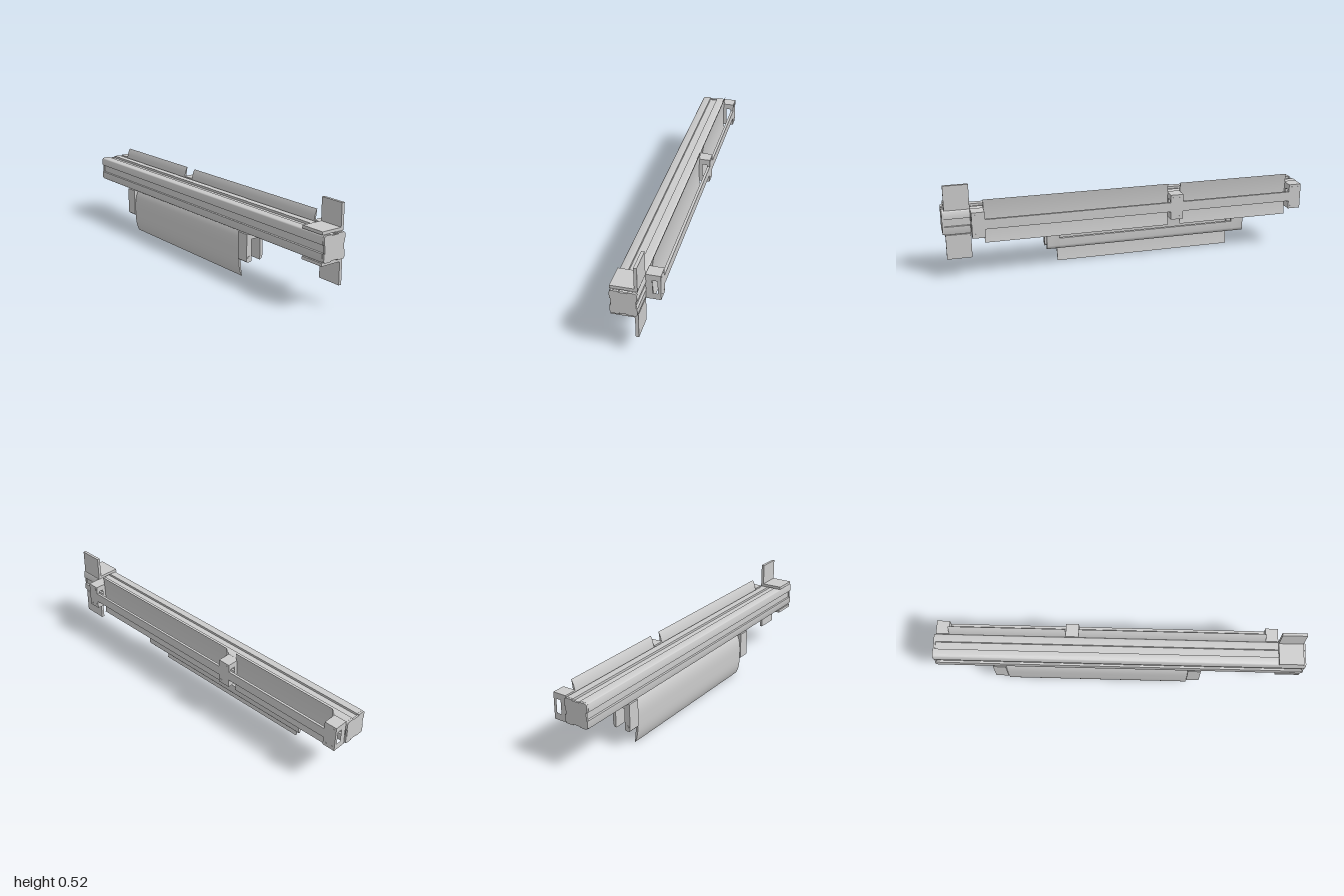
import * as THREE from 'three';
import { toCreasedNormals } from 'three/addons/utils/BufferGeometryUtils.js';

const material = new THREE.MeshStandardMaterial({ color: 0xcccccc });

export function createModel() {
  const root = new THREE.Group();

  const add = (name, geometry) => {
    const mesh = new THREE.Mesh(geometry, material);
    mesh.name = name;
    root.add(mesh);
    return mesh;
  };

  // Extrude a [z, y] outline along x from x0 to x1, with optional [z, y] holes
  const profile = (name, points, x0, x1, holes = []) => {
    const vec = (list) => list.map(([z, y]) => new THREE.Vector2(-z, y));
    const shape = new THREE.Shape(vec(points));
    holes.forEach((h) => shape.holes.push(new THREE.Path(vec(h))));
    const geo = new THREE.ExtrudeGeometry(shape, { depth: x1 - x0, bevelEnabled: false });
    geo.rotateY(Math.PI / 2).translate(x0, 0, 0);
    return add(name, toCreasedNormals(geo, 0.6));
  };

  const rect = (z0, z1, y0, y1) => [[z0, y0], [z1, y0], [z1, y1], [z0, y1]];

  const box = (name, x0, x1, y0, y1, z0, z1) => {
    const mesh = add(name, new THREE.BoxGeometry(x1 - x0, y1 - y0, z1 - z0));
    mesh.position.set((x0 + x1) / 2, (y0 + y1) / 2, (z0 + z1) / 2);
    return mesh;
  };

  // Square section with rounded corners and a slot in each side
  const beamSection = (h, depth) => {
    const cz = 0.036, cy = 0.315, r = 0.012, s = 0.021;
    const points = [];
    for (let side = 0; side < 4; side++) {
      const a = (side * Math.PI) / 2;
      const quarter = [[h, -s], [h - depth, -s], [h - depth, s], [h, s]];
      for (let i = 0; i <= 4; i++) {
        const t = (i / 4) * Math.PI / 2;
        quarter.push([h - r + r * Math.cos(t), h - r + r * Math.sin(t)]);
      }
      quarter.forEach(([u, v]) => points.push([
        cz + u * Math.cos(a) - v * Math.sin(a),
        cy + u * Math.sin(a) + v * Math.cos(a),
      ]));
    }
    return points;
  };
  profile('beam', beamSection(0.067, 0.012), -0.99, 0.99);
  profile('leftEndCap', beamSection(0.066, 0.005), 0.99, 1);
  profile('rightEndCap', beamSection(0.066, 0.005), -1, -0.99);

  // Crescent section: bulges towards +z, with sharp tips above and below
  const crescent = (tipZ, midY, half) => {
    const points = [];
    const n = 24;
    for (let i = 0; i <= n; i++) {
      const v = -1 + (2 * i) / n;
      points.push([tipZ + 0.022 * (1 - Math.abs(v) ** 3.2), midY + half * v]);
    }
    for (let i = n - 1; i > 0; i--) {
      const v = -1 + (2 * i) / n;
      points.push([tipZ + 0.01 * (1 - v * v), midY + half * v]);
    }
    return points;
  };

  // Rear curved panels between the mounting blocks
  for (const [x0, x1] of [[-0.92, -0.29], [-0.22, 0.787]]) {
    profile('rearPanel', crescent(-0.052, 0.316, 0.119), x0, x1);
    box('rearRail', x0, x1, 0.29, 0.343, -0.104, -0.09);
  }

  // Hollow mounting blocks with corner screws
  for (const [x0, x1] of [[-0.99, -0.92], [-0.29, -0.22], [0.787, 0.855]]) {
    profile('mountingBlock', rect(-0.104, -0.03, 0.245, 0.385), x0, x1,
      [rect(-0.088, -0.062, 0.28, 0.353)]);
    for (const x of [x0 + 0.016, x1 - 0.016]) {
      for (const y of [0.263, 0.367]) {
        const screw = add('blockScrew', new THREE.CylinderGeometry(0.006, 0.006, 0.002, 12));
        screw.rotation.x = Math.PI / 2;
        screw.position.set(x, y, -0.104);
      }
    }
  }

  // Angle brackets above and below the beam's left end
  const angle = [[0.103, 0.383], [0.103, 0.399], [-0.014, 0.399],
    [-0.014, 0.517], [-0.03, 0.517], [-0.03, 0.383]];
  profile('upperAngleBracket', angle, 0.855, 0.987);
  profile('lowerAngleBracket', angle.map(([z, y]) => [z, 0.631 - y]), 0.855, 0.987);

  // Hanging fork brackets, each with a pivot pin
  const fork = [[0.105, 0.248], [0.105, 0.102], [0.1, 0.097], [0.078, 0.097], [0.073, 0.102],
    [0.073, 0.218], [0.018, 0.218], [0.018, 0.097], [0.009, 0.101], [0.003, 0.109],
    [0.001, 0.12], [0.001, 0.232], [-0.03, 0.232], [-0.03, 0.248]];
  for (const x0 of [-0.69, 0.38]) {
    profile('forkBracket', fork, x0, x0 + 0.07);
    const pin = add('pivotPin', new THREE.CylinderGeometry(0.008, 0.008, 0.074, 20));
    pin.rotation.z = Math.PI / 2;
    pin.position.set(x0 + 0.035, 0.122, 0.09);
  }

  // Front curved panel and the rail behind it
  profile('frontPanel', crescent(0.078, 0.123, 0.123), -0.62, 0.38);
  profile('lowerRail', [[0.018, 0.097], [0.009, 0.101], [0.003, 0.109], [0.001, 0.12],
    [0.001, 0.16], [0.018, 0.16]], -0.62, 0.38);

  return root;
}
